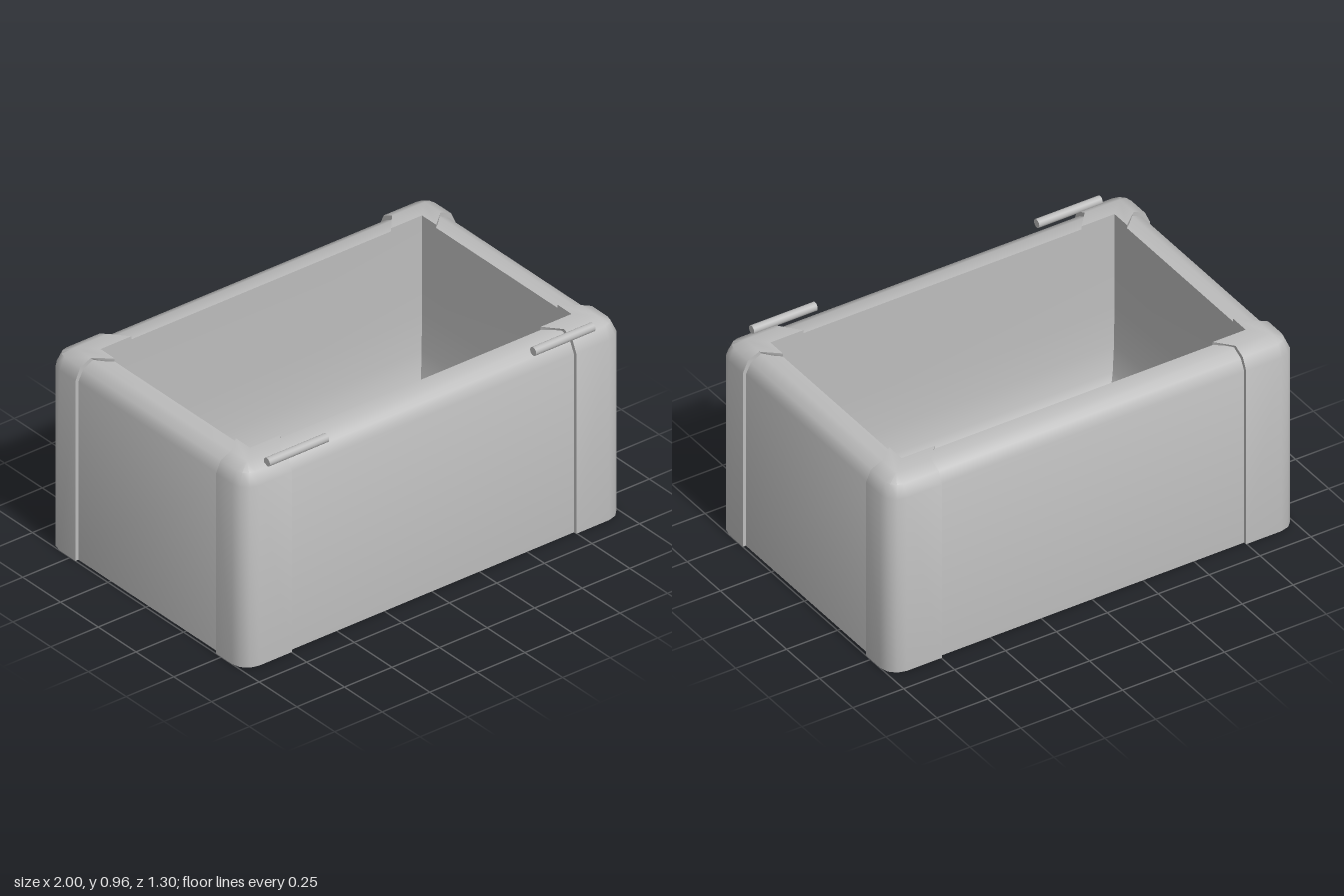
import * as THREE from 'three';
import { toCreasedNormals } from 'three/addons/utils/BufferGeometryUtils.js';

const RADIUS = 0.08; // plan radius of the vertical corners

// Skin a grid of points: rows run round the box, columns follow the profile.
function loft(rows, closed, flip) {
  const pos = [];
  const tri = (a, b, c) => {
    const area = b.clone().sub(a).cross(c.clone().sub(a)).length();
    if (area < 1e-7) return;
    for (const p of flip ? [a, c, b] : [a, b, c]) pos.push(p.x, p.y, p.z);
  };
  const n = rows.length;
  for (let i = 0; i < (closed ? n : n - 1); i++) {
    const r = rows[i], s = rows[(i + 1) % n];
    for (let j = 0; j < r.length - 1; j++) {
      tri(r[j], r[j + 1], s[j]);
      tri(s[j], r[j + 1], s[j + 1]);
    }
  }
  const g = new THREE.BufferGeometry();
  g.setAttribute('position', new THREE.Float32BufferAttribute(pos, 3));
  return toCreasedNormals(g, 0.75);
}

// Point on a rounded rectangle inset by d, at angle a.
function cornerPoint(hx, hz, d, y, a, sx, sz) {
  const c = Math.max(RADIUS, d), r = Math.max(RADIUS - d, 0);
  return new THREE.Vector3(sx * (hx - c) + r * Math.cos(a), y, sz * (hz - c) + r * Math.sin(a));
}

// Hollow tub: underside, outer wall, rolled rim, inner wall and floor.
function tubGeometry() {
  const profile = [
    [0.635, 0], [0, 0], [0, 0.86], [0.025, 0.91], [0.075, 0.935], [0.14, 0.935],
    [0.14, 0.5], [0.147, 0.3], [0.165, 0.18], [0.19, 0.12], [0.23, 0.1], [0.635, 0.1],
  ];
  const rows = [];
  for (let q = 0; q < 4; q++) {
    const sx = q === 0 || q === 3 ? 1 : -1, sz = q < 2 ? 1 : -1;
    for (let k = 0; k <= 3; k++) {
      const a = (q + k / 3) * Math.PI / 2;
      rows.push(profile.map(([d, y]) => cornerPoint(0.985, 0.635, d, y, a, sx, sz)));
    }
  }
  return loft(rows, true, false);
}

// Raised corner guard, with slanted cuts across the rim.
function guardGeometry(sx, sz) {
  const profile = [
    [0.03, 0], [0, 0], [0, 0.87], [0.025, 0.925], [0.08, 0.95], [0.155, 0.95], [0.155, 0.934],
  ];
  const slant = d => Math.max(0, d - 0.08) * 0.85;
  const sideEnd = sink => profile.map(([d, y]) => new THREE.Vector3(
    1 - Math.min(d + sink, 0.155), Math.max(0, y - sink), 0.465 - slant(d)));
  const longEnd = sink => profile.map(([d, y]) => new THREE.Vector3(
    0.747 - slant(d), Math.max(0, y - sink), 0.65 - Math.min(d + sink, 0.155)));
  const rows = [sideEnd(0.025), sideEnd(0)];
  for (let k = 0; k <= 3; k++) {
    rows.push(profile.map(([d, y]) => cornerPoint(1, 0.65, d, y, k * Math.PI / 6, 1, 1)));
  }
  rows.push(longEnd(0), longEnd(0.025));
  rows.forEach(row => row.forEach(p => p.set(p.x * sx, p.y, p.z * sz)));
  return loft(rows, false, sx * sz < 0);
}

export function createModel() {
  const group = new THREE.Group();
  const grey = new THREE.MeshStandardMaterial({ color: 0xbcbcbc });
  grey.name = 'grey';
  const add = (name, geometry) => {
    const mesh = new THREE.Mesh(geometry, grey);
    mesh.name = name;
    group.add(mesh);
    return mesh;
  };

  add('tub', tubGeometry());
  for (const sx of [1, -1]) {
    const side = sx > 0 ? 'Left' : 'Right';
    for (const sz of [1, -1]) {
      add((sz > 0 ? 'front' : 'back') + side + 'CornerGuard', guardGeometry(sx, sz));
    }
    // Hinge pin lying along the front rim
    const pin = add('hingePin' + side, new THREE.CylinderGeometry(0.02, 0.02, 0.312, 16));
    pin.rotation.z = Math.PI / 2;
    pin.position.set(sx * 0.7, 0.944, 0.62);
  }
  return group;
}
